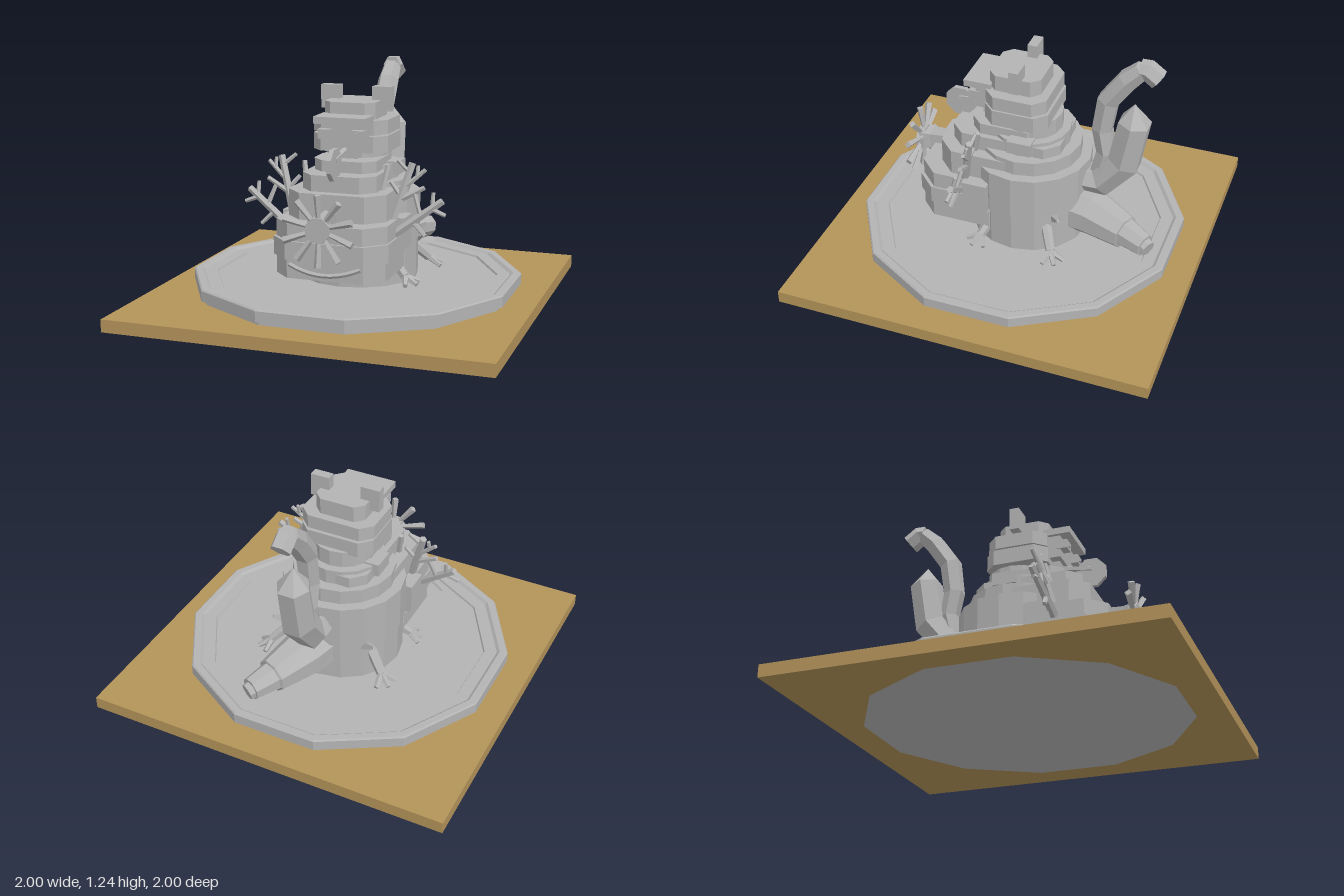
import * as THREE from 'three';

const grey = new THREE.MeshStandardMaterial({ color: 0xb3b3b3 });
grey.name = 'stone grey';
const brown = new THREE.MeshStandardMaterial({ color: 0xb39359 });
brown.name = 'board brown';
const V = (x, y, z) => new THREE.Vector3(x, y, z);

export function createModel() {
  const root = new THREE.Group();

  // Faceted mesh
  function add(name, geo, mat = grey, parent = root) {
    const g = geo.index ? geo.toNonIndexed() : geo;
    g.computeVertexNormals();
    const m = new THREE.Mesh(g, mat);
    m.name = name;
    parent.add(m);
    return m;
  }
  // Slab with chamfered corners
  function slab(name, hw, z0, z1, y0, y1, c) {
    const s = new THREE.Shape([[-hw, z0 + c], [-hw + c, z0], [hw - c, z0], [hw, z0 + c],
      [hw, z1 - c], [hw - c, z1], [-hw + c, z1], [-hw, z1 - c]].map(([x, z]) => new THREE.Vector2(x, -z)));
    const g = new THREE.ExtrudeGeometry(s, { depth: y1 - y0, bevelEnabled: false });
    return add(name, g.rotateX(-Math.PI / 2).translate(0, y0, 0));
  }
  function box(name, x0, x1, y0, y1, z0, z1) {
    return add(name, new THREE.BoxGeometry(x1 - x0, y1 - y0, z1 - z0)
      .translate((x0 + x1) / 2, (y0 + y1) / 2, (z0 + z1) / 2));
  }
  function drum(name, r, y0, y1, z) {
    return add(name, new THREE.CylinderGeometry(r, r, y1 - y0, 16).translate(0, (y0 + y1) / 2, z));
  }
  // Tapered rod between two points
  function rod(name, a, b, ra, rb = ra, sides = 6) {
    const d = b.clone().sub(a), L = d.length();
    const g = new THREE.CylinderGeometry(rb, ra, L, sides);
    g.applyQuaternion(new THREE.Quaternion().setFromUnitVectors(V(0, 1, 0), d.normalize()));
    const c = a.clone().add(b).multiplyScalar(0.5);
    return add(name, g.translate(c.x, c.y, c.z));
  }
  // Closed tube of rings along a bent path, each node [x, y, z, radius]
  function limb(name, nodes, sides) {
    const pts = nodes.map(n => V(n[0], n[1], n[2])), pos = [], idx = [], N = nodes.length;
    pts.forEach((p, i) => {
      const t = pts[Math.min(i + 1, N - 1)].clone().sub(pts[Math.max(i - 1, 0)]).normalize();
      const u = t.clone().cross(V(1, 0, 0)).normalize(), v = t.clone().cross(u);
      for (let k = 0; k < sides; k++) {
        const a = (k + 0.5) / sides * Math.PI * 2;
        const q = p.clone().addScaledVector(u, Math.cos(a) * nodes[i][3]).addScaledVector(v, Math.sin(a) * nodes[i][3]);
        pos.push(q.x, q.y, q.z);
        const b = i * sides + k, c = i * sides + (k + 1) % sides;
        if (i < N - 1) idx.push(b, c, b + sides, c, c + sides, b + sides);
      }
    });
    for (let k = 1; k < sides - 1; k++) {
      const e = (N - 1) * sides;
      idx.push(0, k + 1, k, e, e + k, e + k + 1);
    }
    const g = new THREE.BufferGeometry();
    g.setAttribute('position', new THREE.Float32BufferAttribute(pos, 3));
    g.setIndex(idx);
    return add(name, g);
  }

  // Square board with the twelve-sided plinth let into it
  const k12 = 1 / Math.cos(Math.PI / 12);
  const board = new THREE.Shape([[-1, -1], [1, -1], [1, 1], [-1, 1]].map(p => new THREE.Vector2(...p)));
  const hole = new THREE.Path();
  for (let i = 0; i < 12; i++) {
    const a = (i + 0.5) * Math.PI / 6, r = 0.83 * k12;
    hole[i ? 'lineTo' : 'moveTo'](r * Math.cos(a), r * Math.sin(a));
  }
  hole.closePath();
  board.holes.push(hole);
  add('board', new THREE.ExtrudeGeometry(board, { depth: 0.067, bevelEnabled: false }).rotateX(-Math.PI / 2), brown);
  const profile = [[0, 0], [0.83, 0], [0.83, 0.085], [0.857, 0.09], [0.857, 0.145], [0.85, 0.152], [0.815, 0.152],
    [0.8, 0.14], [0.735, 0.14], [0.73, 0.13], [0, 0.13]];
  add('plinth', new THREE.LatheGeometry(profile.map(([r, y]) => new THREE.Vector2(r * k12, y)), 12, Math.PI / 12));

  // Stacked round back
  [[0.32, 0.13, 0.35], [0.33, 0.35, 0.59], [0.275, 0.59, 0.67], [0.215, 0.67, 0.75], [0.17, 0.75, 0.84]]
    .forEach(([r, a, b]) => drum('backTier', r, a, b, -0.045));

  // Stacked chest and jaw
  slab('jaw', 0.295, 0.0, 0.5, 0.22, 0.32, 0.09);
  slab('lowerChest', 0.31, 0.0, 0.515, 0.32, 0.415, 0.1);
  slab('chest', 0.3, 0.0, 0.5, 0.415, 0.505, 0.1);
  slab('upperChest', 0.265, -0.1, 0.4, 0.505, 0.645, 0.09);
  slab('shoulderTier', 0.2, -0.25, 0.345, 0.645, 0.73, 0.07);
  slab('neck', 0.17, -0.14, 0.24, 0.73, 0.79, 0.06);
  const smile = new THREE.QuadraticBezierCurve3(V(-0.19, 0.295, 0.5), V(0, 0.21, 0.53), V(0.19, 0.295, 0.5));
  add('mouth', new THREE.TubeGeometry(smile, 10, 0.013, 5));

  // Head
  slab('headLower', 0.205, -0.185, 0.16, 0.825, 0.912, 0.06);
  slab('headMiddle', 0.16, -0.16, 0.15, 0.905, 0.925, 0.05);
  slab('headUpper', 0.205, -0.175, 0.155, 0.92, 0.995, 0.06);
  slab('headCap', 0.14, -0.13, 0.15, 0.995, 1.083, 0.045);
  box('brow', -0.14, 0.14, 0.985, 1.022, 0.13, 0.28);
  box('face', -0.12, 0.12, 0.86, 0.985, 0.13, 0.22);
  box('muzzle', -0.07, 0.07, 0.8, 0.87, 0.13, 0.2);
  for (const s of [-1, 1]) {
    const side = (n, x0, x1, ...r) => box(n, Math.min(s * x0, s * x1), Math.max(s * x0, s * x1), ...r);
    side('ear', 0.09, 0.195, 1.03, 1.155, -0.04, 0.012);
    side('eye', 0.06, 0.125, 0.905, 0.955, 0.2, 0.26);
    side('pupil', 0.08, 0.105, 0.92, 0.942, 0.26, 0.267);
    side('shoulderBlock', 0.25, 0.335, 0.345, 0.51, 0.09, 0.225);
    side('backBlock', 0.13, 0.235, 0.69, 0.76, -0.12, 0.01);
  }

  // Thin disc held in front of the face
  add('disc', new THREE.CylinderGeometry(0.087, 0.087, 0.025, 8).rotateX(0).rotateY(Math.PI / 8)
    .rotateZ(Math.PI / 2).translate(0, 0.793, 0.355));
  rod('discHandle', V(0, 0.85, 0.12), V(0, 0.815, 0.36), 0.02);

  // Spoked star on a flaring stalk
  limb('starStalk', [[0, 0.53, 0.34, 0.055], [0, 0.525, 0.42, 0.05], [0, 0.51, 0.53, 0.06], [0, 0.505, 0.585, 0.08]], 4);
  add('starHub', new THREE.CylinderGeometry(0.068, 0.068, 0.04, 8).rotateY(Math.PI / 8)
    .rotateX(Math.PI / 2).translate(0, 0.505, 0.585));
  for (let i = 0; i < 10; i++) {
    const a = (i + 0.5) * Math.PI / 5, c = Math.cos(a), s = Math.sin(a);
    rod('starSpoke', V(0.05 * c, 0.505 + 0.05 * s, 0.585), V(0.19 * c, 0.5 + 0.185 * s, 0.6), 0.012, 0.02, 4);
  }

  // Branching antlers on both sides: x0, y0, x1, y1, radius
  const twigs = [[0.25, 0.40, 0.53, 0.61, 0.024], [0.25, 0.42, 0.36, 0.79, 0.024], [0.19, 0.55, 0.23, 0.77, 0.018],
    [0.42, 0.53, 0.38, 0.64, 0.014], [0.47, 0.57, 0.55, 0.54, 0.014], [0.38, 0.5, 0.45, 0.43, 0.014],
    [0.48, 0.575, 0.48, 0.65, 0.013], [0.33, 0.67, 0.43, 0.76, 0.014], [0.3, 0.6, 0.43, 0.67, 0.016],
    [0.35, 0.74, 0.28, 0.8, 0.013], [0.31, 0.62, 0.25, 0.69, 0.014], [0.39, 0.72, 0.39, 0.78, 0.012]];
  // Clawed feet: leg start, ankle and outward angle
  const feet = [[0.22, 0.26, 0.08, 0.315, 0.175, 0.13, 0.4], [0.22, 0.3, -0.2, 0.33, 0.185, -0.27, -0.6]];
  for (const s of [-1, 1]) {
    const P = (x, y) => V(s * x, y, 0.25 - (y - 0.4) * 0.22);
    for (const [x0, y0, x1, y1, r] of twigs) rod('antlerBranch', P(x0, y0), P(x1, y1), r, r * 0.8, 5);
    for (const [x0, y0, z0, x1, y1, z1, a] of feet) {
      const ankle = V(s * x1, y1, z1);
      rod('leg', V(s * x0, y0, z0), ankle, 0.032, 0.025);
      for (const d of [-0.9, 0, 0.9]) {
        rod('toe', ankle, V(s * (x1 + 0.075 * Math.cos(a + d)), 0.145, z1 + 0.075 * Math.sin(a + d)), 0.02, 0.013, 5);
      }
    }
    rod('spur', V(s * 0.2, 0.32, -0.24), V(s * 0.3, 0.37, -0.3), 0.04, 0.01, 4);
  }

  // Three tails: low cone, upright crystal and curling hook
  limb('lowTail', [[0.03, 0.29, -0.28, 0.14], [0.06, 0.285, -0.42, 0.13], [0.135, 0.26, -0.62, 0.095],
    [0.135, 0.26, -0.625, 0.08], [0.19, 0.245, -0.745, 0.062]], 8);
  limb('lowTailTip', [[0.18, 0.245, -0.73, 0.05], [0.2, 0.235, -0.765, 0.045]], 8);
  limb('crystalTail', [[0, 0.46, -0.3, 0.08], [0, 0.47, -0.44, 0.09], [0, 0.62, -0.56, 0.095],
    [0, 0.875, -0.605, 0.09], [0, 0.98, -0.6, 0.003]], 6);
  limb('hookTail', [[0, 0.5, -0.42, 0.05], [0, 0.66, -0.46, 0.055], [0, 0.8, -0.435, 0.058], [0, 0.98, -0.46, 0.062],
    [0, 1.12, -0.555, 0.06], [0, 1.195, -0.63, 0.05]], 6);
  limb('hookTip', [[0, 1.2, -0.62, 0.05], [0, 1.2, -0.655, 0.055], [0, 1.155, -0.715, 0.055]], 6);
  return root;
}
